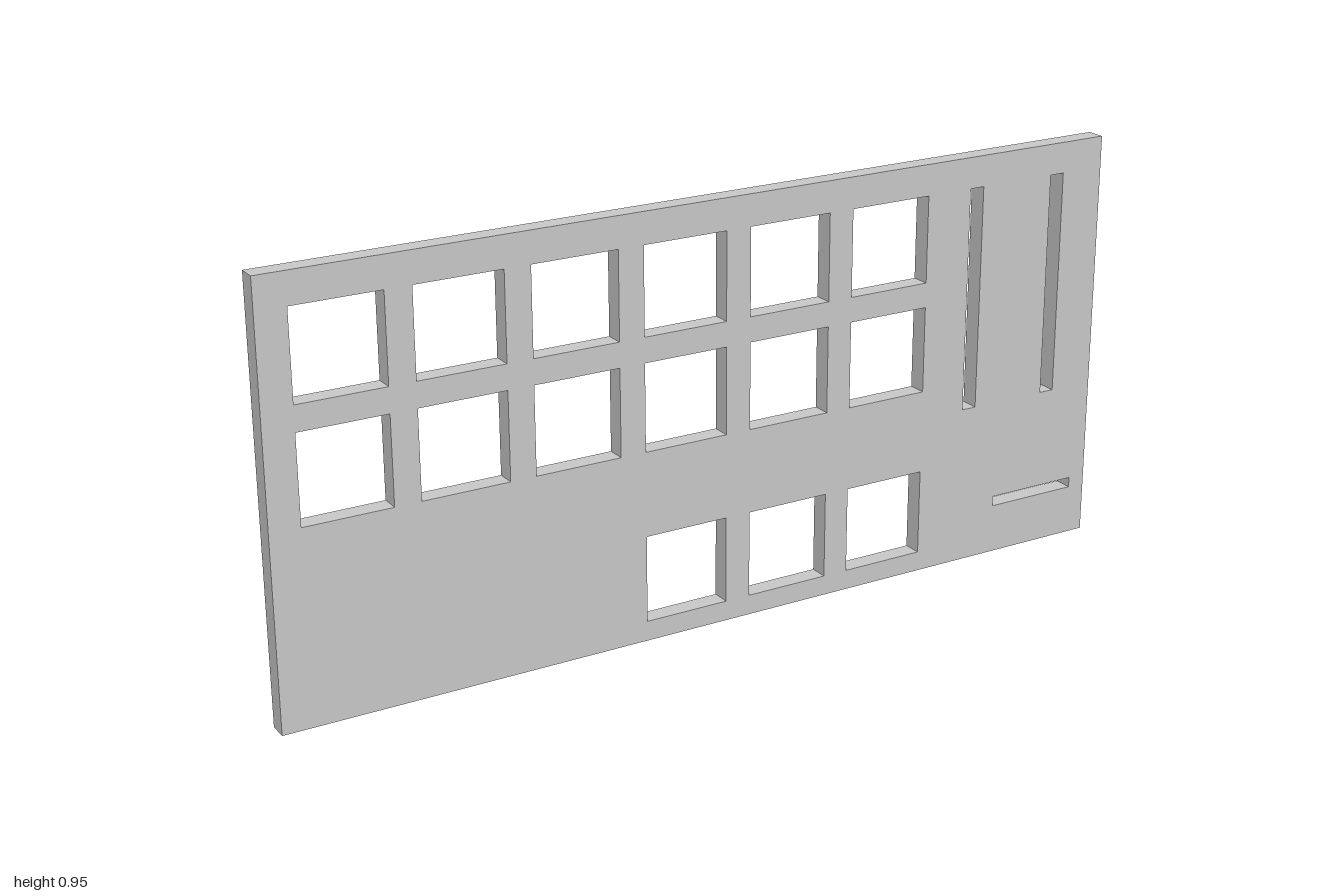
import * as THREE from 'three';

const WIDTH = 2, HEIGHT = 0.946, DEPTH = 0.043;
const KEY = 0.195, PITCH = 0.2535, FIRST_X = -0.933;

// Rectangular cut-out from its lower left corner
function rectHole(x, y, w, h) {
  const path = new THREE.Path();
  path.moveTo(x, y);
  path.lineTo(x, y + h);
  path.lineTo(x + w, y + h);
  path.lineTo(x + w, y);
  path.closePath();
  return path;
}

export function createModel() {
  const group = new THREE.Group();
  group.name = 'controlPanel';

  // Panel outline
  const shape = new THREE.Shape();
  shape.moveTo(-WIDTH / 2, 0);
  shape.lineTo(WIDTH / 2, 0);
  shape.lineTo(WIDTH / 2, HEIGHT);
  shape.lineTo(-WIDTH / 2, HEIGHT);
  shape.closePath();

  // Square button openings: two full rows and a half row below
  const rows = [
    { y: 0.681, from: 0 },
    { y: 0.43, from: 0 },
    { y: 0.045, from: 3 },
  ];
  for (const { y, from } of rows) {
    for (let i = from; i < 6; i++) {
      shape.holes.push(rectHole(FIRST_X + i * PITCH, y, KEY, KEY));
    }
  }

  // Two tall slider slots
  for (const x of [0.641, 0.86]) shape.holes.push(rectHole(x, 0.366, 0.035, 0.51));

  // Short horizontal slot
  shape.holes.push(rectHole(0.737, 0.113, 0.222, 0.023));

  const geometry = new THREE.ExtrudeGeometry(shape, { depth: DEPTH, bevelEnabled: false });
  geometry.translate(0, 0, -DEPTH / 2);
  const panel = new THREE.Mesh(geometry, new THREE.MeshStandardMaterial({ color: 0xcccccc }));
  panel.name = 'facePlate';
  group.add(panel);
  return group;
}
